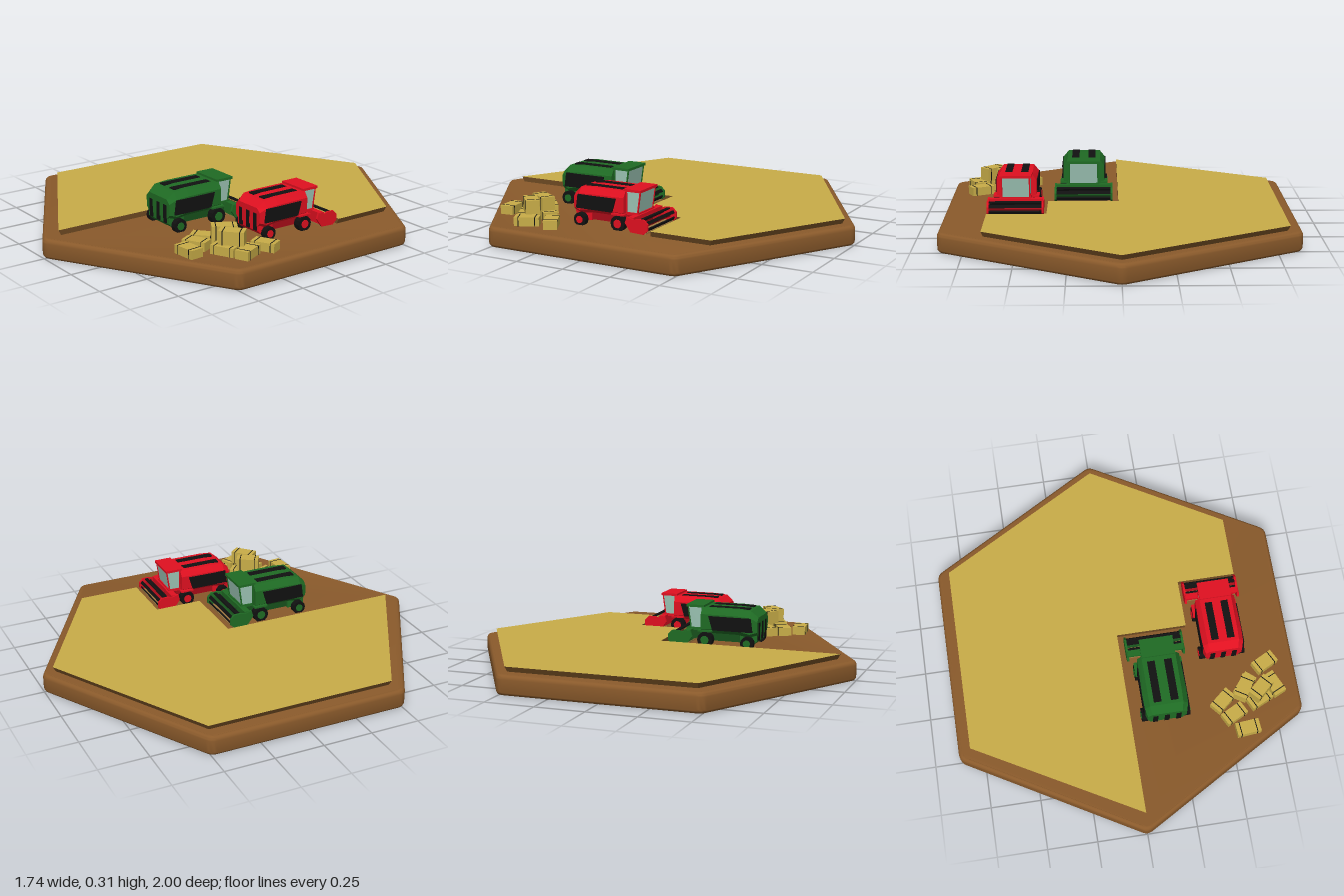
import * as THREE from 'three';
import { toCreasedNormals } from 'three/addons/utils/BufferGeometryUtils.js';

const mat = (color, flatShading = true) => new THREE.MeshStandardMaterial({ color, flatShading });
const soil = mat(0x8a5a2b, false), straw = mat(0xc8ad48), stalk = mat(0x6e4a22);
const black = mat(0x111111), glass = mat(0x9cc4b4), tan = mat(0xa07840);

function add(parent, name, geo, material, x = 0, y = 0, z = 0) {
  const m = new THREE.Mesh(geo, material);
  m.name = name;
  m.position.set(x, y, z);
  parent.add(m);
  return m;
}
const box = (w, h, d) => new THREE.BoxGeometry(w, h, d);
const cyl = (r, w, n = 12) => new THREE.CylinderGeometry(r, r, w, n).rotateZ(Math.PI / 2);

// Hexagon with slightly rounded corners, pointing along z
function hexagon(R, Type = THREE.Shape) {
  const s = new Type(), c = 0.03;
  const P = [...Array(6)].map((_, i) => new THREE.Vector2(Math.sin(-i * Math.PI / 3) * R, Math.cos(i * Math.PI / 3) * R));
  P.forEach((p, i) => {
    const a = p.clone().lerp(P[(i + 5) % 6], c / R), b = p.clone().lerp(P[(i + 1) % 6], c / R);
    if (i) s.lineTo(a.x, a.y); else s.moveTo(a.x, a.y);
    s.quadraticCurveTo(p.x, p.y, b.x, b.y);
  });
  s.closePath();
  return s;
}

// Solid through mirrored cross-sections; each section is [z, right-hand points from bottom to top]
function loft(sections) {
  const rings = sections.map(([z, half]) => [...half, ...half.map(([x, y]) => [-x, y]).reverse()]
    .map(([x, y]) => [x, y, z]));
  const pos = [], n = rings[0].length, last = rings.length - 1;
  const tri = (...p) => p.forEach(v => pos.push(...v));
  for (let i = 0; i < last; i++) for (let j = 0; j < n; j++) {
    const k = (j + 1) % n, a = rings[i][j], b = rings[i][k], c = rings[i + 1][k], d = rings[i + 1][j];
    tri(a, b, c); tri(a, c, d);
  }
  for (let j = 1; j < n - 1; j++) {
    tri(rings[0][0], rings[0][j + 1], rings[0][j]);
    tri(rings[last][0], rings[last][j], rings[last][j + 1]);
  }
  const g = new THREE.BufferGeometry();
  g.setAttribute('position', new THREE.Float32BufferAttribute(pos, 3));
  g.computeVertexNormals();
  return g;
}

function createBase() {
  const g = new THREE.Group();
  g.name = 'base';
  const ring = hexagon(1.007);
  ring.holes.push(hexagon(0.965, THREE.Path));
  const rim = new THREE.ExtrudeGeometry(ring, { depth: 0.056, bevelThickness: 0.022, bevelSize: 0.02,
    bevelOffset: -0.02, bevelSegments: 5, curveSegments: 4 }).rotateX(-Math.PI / 2);
  add(g, 'rim', toCreasedNormals(rim, 0.6), soil, 0, 0.022, 0);
  const floor = new THREE.ExtrudeGeometry(hexagon(0.98), { depth: 0.09, bevelEnabled: false, curveSegments: 4 });
  add(g, 'floor', floor.rotateX(-Math.PI / 2), soil, 0, 0.002, 0);

  // standing crop, its stalks leaning in towards the ground
  const outline = [[0, -0.95], [0.656, -0.57], [0.656, -0.257], [0.36, -0.257], [0.36, -0.013],
    [0.003, -0.013], [0.003, 0.92], [-0.81, 0.465], [-0.81, -0.49]];
  const crop = new THREE.ExtrudeGeometry(new THREE.Shape(outline.map(([x, z]) => new THREE.Vector2(x, -z))),
    { depth: 0.034, bevelEnabled: false }).rotateX(-Math.PI / 2);
  const p = crop.attributes.position;
  for (let i = 0; i < p.count; i++) {
    const s = p.getY(i) < 0.01 ? 0.98 : 1;
    p.setXYZ(i, p.getX(i) * s, p.getY(i), p.getZ(i) * s);
  }
  crop.computeVertexNormals();
  add(g, 'standingCrop', crop, [straw, stalk], 0, 0.092, 0);
  return g;
}

function createHarvester(name, color, shade) {
  const g = new THREE.Group(), paint = mat(color), dark = mat(shade);
  g.name = name;

  // hull: chamfered shoulders, rounding off towards the rear
  const section = (z, w, y0, y1, y2, t) => [z, [[w * 0.8, y0], [w, y0 + 0.02], [w, y1], [t, y2]]];
  add(g, 'hull', loft([section(-0.09, 0.1, 0.062, 0.155, 0.185, 0.08), section(0.09, 0.104, 0.062, 0.155, 0.185, 0.08),
    section(0.155, 0.102, 0.05, 0.15, 0.18, 0.078), section(0.19, 0.092, 0.06, 0.13, 0.15, 0.07)]), paint);
  add(g, 'chassis', box(0.13, 0.045, 0.25), dark, 0, 0.045, 0.01);
  add(g, 'rearSkirt', loft([[0.1, [[0.075, 0.02], [0.075, 0.07]]], [0.165, [[0.085, 0.015], [0.085, 0.07]]],
    [0.186, [[0.08, 0.035], [0.08, 0.07]]]]), paint);
  for (const x of [-0.055, 0, 0.055])
    add(g, 'rearVent', box(0.024, 0.085, 0.006), black, x, 0.08, 0.188);

  // black panels on roof and flanks
  const flank = new THREE.Shape([[0.17, 0.08], [0.16, 0.148], [-0.05, 0.148], [-0.03, 0.08]]
    .map(([z, y]) => new THREE.Vector2(-z, y)));
  for (const s of [-1, 1]) {
    add(g, 'roofPanel', box(0.036, 0.006, 0.2), black, s * 0.04, 0.184, 0.04);
    const panel = add(g, 'flankPanel', new THREE.ExtrudeGeometry(flank, { depth: 0.006, bevelEnabled: false }), black, s * 0.104 - 0.003);
    panel.rotation.y = Math.PI / 2;
    for (const [z, r, w] of [[-0.065, 0.038, 0.036], [0.145, 0.033, 0.028]]) {
      add(g, 'wheel', cyl(r, w), black, s * (0.115 - w / 2), r - 0.006, z);
      add(g, 'hub', cyl(r * 0.55, 0.005, 10), paint, s * 0.1155, r - 0.006, z);
    }
    add(g, 'frontFender', box(0.03, 0.008, 0.07), paint, s * 0.1, 0.075, -0.065);
  }

  // cab with a forward-leaning windscreen
  const slab = (y, w, z0, z1) => [y, w, z0, z1];
  const cab = loft([[-0.163, [[0.068, 0.09], [0.07, 0.185]]], [-0.085, [[0.072, 0.07], [0.074, 0.185]]]]);
  const cp = cab.attributes.position;
  for (let i = 0; i < cp.count; i++)
    if (cp.getZ(i) < -0.1 && cp.getY(i) < 0.1) cp.setXYZ(i, cp.getX(i), 0.08, -0.148);
  cab.computeVertexNormals();
  add(g, 'cabGlass', cab, glass);
  add(g, 'cabRoof', box(0.16, 0.012, 0.09), paint, 0, 0.189, -0.125);
  add(g, 'cabFloor', box(0.15, 0.014, 0.075), paint, 0, 0.077, -0.118);
  for (const s of [-1, 1]) {
    add(g, 'cabPillar', box(0.008, 0.11, 0.01), paint, s * 0.072, 0.133, -0.09);
    const post = add(g, 'cabFrontPillar', box(0.006, 0.108, 0.006), paint, s * 0.069, 0.133, -0.156);
    post.rotation.x = -0.14;
  }

  // feeder and cutting header with its reel
  const feeder = add(g, 'feeder', box(0.08, 0.045, 0.1), dark, 0, 0.05, -0.12);
  feeder.rotation.x = -0.25;
  add(g, 'headerBack', box(0.27, 0.058, 0.012), paint, 0, 0.042, -0.158);
  add(g, 'headerTop', box(0.27, 0.01, 0.03), paint, 0, 0.073, -0.15);
  add(g, 'headerTray', box(0.27, 0.008, 0.08), tan, 0, 0.01, -0.19);
  add(g, 'reelShaft', cyl(0.012, 0.27, 8), dark, 0, 0.04, -0.203);
  for (let i = 0; i < 6; i++) {
    const a = i * Math.PI / 3 + 0.5;
    const bar = add(g, 'reelBar', box(0.27, 0.006, 0.016), black, 0, 0.04 + Math.sin(a) * 0.031, -0.203 + Math.cos(a) * 0.031);
    bar.rotation.x = Math.PI / 2 - a;
  }
  const side = new THREE.Shape([[0.12, 0.05], [0.15, 0.008], [0.22, 0.005], [0.242, 0.025], [0.242, 0.055],
    [0.222, 0.075], [0.19, 0.076], [0.165, 0.07], [0.13, 0.08]].map(([z, y]) => new THREE.Vector2(z, y)));
  for (const s of [-1, 1]) {
    const plate = add(g, 'headerSide', new THREE.ExtrudeGeometry(side, { depth: 0.01, bevelEnabled: false }), paint, s * 0.135 - 0.005);
    plate.rotation.y = Math.PI / 2;
  }
  return g;
}

function createBale(x, y, z, degrees) {
  const g = new THREE.Group();
  g.name = 'strawBale';
  add(g, 'bale', box(0.12, 0.066, 0.066), straw);
  for (const s of [-1, 1]) add(g, 'twine', box(0.004, 0.068, 0.068), black, s * 0.04);
  g.position.set(x, y, z);
  g.rotation.y = THREE.MathUtils.degToRad(degrees);
  return g;
}

export function createModel() {
  const model = new THREE.Group();
  model.name = 'harvestField';
  model.add(createBase());

  const green = createHarvester('greenHarvester', 0x1f6b24, 0x17501b);
  green.position.set(0.18, 0.1, 0.272);
  green.scale.setScalar(1.06);
  const red = createHarvester('redHarvester', 0xe01020, 0xa80c18);
  red.position.set(0.515, 0.1, 0);
  model.add(green, red);

  // heap of bales: two resting on the lower ones
  const low = 0.11, high = 0.178;
  for (const b of [[0.72, low, 0.245, 27], [0.52, low, 0.49, 27], [0.575, low, 0.572, 5], [0.475, low, 0.415, 40],
    [0.745, low, 0.365, -65], [0.6, low, 0.35, 50], [0.66, low, 0.43, 25],
    [0.585, high, 0.38, 58], [0.668, high, 0.395, 42]]) model.add(createBale(...b));
  return model;
}
